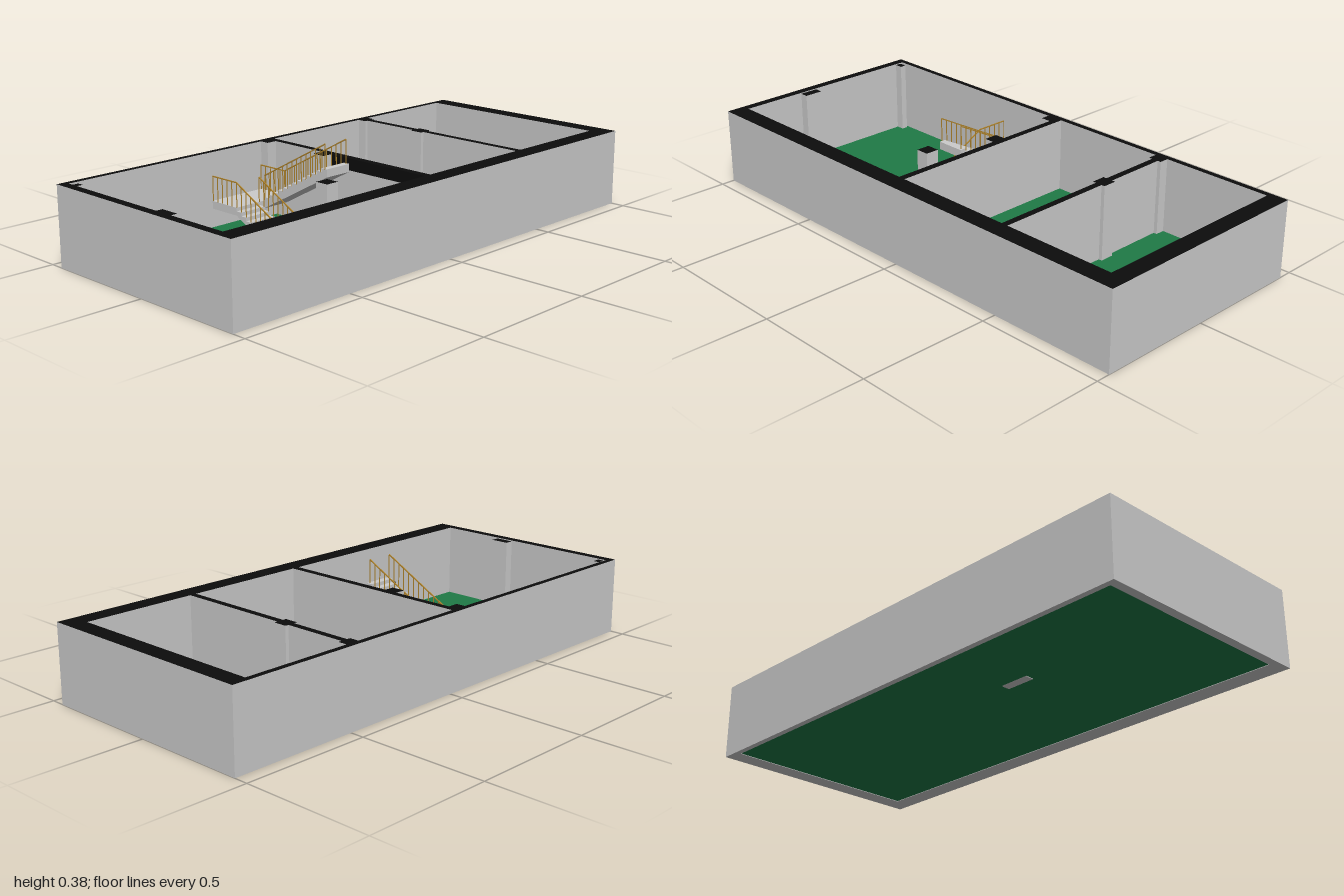
import * as THREE from 'three';

const mat = (color) => new THREE.MeshStandardMaterial({ color });

export function createModel() {
  const model = new THREE.Group();
  const grey = mat(0xcccccc), black = mat(0x0c0c0c), green = mat(0x1f7a46), wood = mat(0xb0842c);
  const capped = [grey, grey, black, grey, grey, grey]; // grey block with a black cut top
  const H = 0.297, D = 0.447;

  // Box given by its extents on each axis
  function block(name, x0, x1, y0, y1, z0, z1, material, parent = model) {
    const mesh = new THREE.Mesh(new THREE.BoxGeometry(x1 - x0, y1 - y0, z1 - z0), material);
    mesh.position.set((x0 + x1) / 2, (y0 + y1) / 2, (z0 + z1) / 2);
    mesh.name = name;
    parent.add(mesh);
    return mesh;
  }

  // Outer walls: front and right are thicker
  block('frontWall', -1, 1, 0, H, 0.373, D, capped);
  block('backWall', -1, 1, 0, H, -D, -0.425, capped);
  block('leftEndWall', -1, -0.967, 0, H, -0.425, 0.373, capped);
  block('rightEndWall', 0.93, 1, 0, H, -0.425, 0.373, capped);
  block('floor', -0.967, 0.93, 0.002, 0.008, -0.425, 0.373, green);

  // Partition walls
  for (const x of [-0.04, 0.47])
    block('partitionWall', x - 0.013, x + 0.013, 0.005, H, -0.425, 0.373, capped);
  block('partitionBeam', -0.055, -0.04, 0.252, H, -0.085, 0.373, black);

  // Columns: x0, x1, z0, z1, height
  [
    [-0.967, -0.935, -0.415, -0.39, H - 0.004],
    [-0.967, -0.933, 0.04, 0.115, H - 0.004],
    [-0.265, -0.212, 0.05, 0.105, 0.257],
    [-0.095, -0.04, -0.14, -0.085, H],
    [-0.095, -0.03, -0.425, -0.388, H],
    [0.443, 0.497, -0.14, -0.085, H],
    [0.443, 0.497, -0.425, -0.388, H],
  ].forEach(([x0, x1, z0, z1, h]) => block('column', x0, x1, 0.005, h, z0, z1, capped));

  // Staircase: lower flight, landing, upper flight
  const stairs = new THREE.Group();
  stairs.name = 'staircase';
  model.add(stairs);
  const rise = 0.0138, run = 0.0257, landY = 8 * rise, landZ = -0.29, slab = 0.03;

  // Stepped slab, run along local x, width along local z
  function flight(treads, width, base, footOnGround) {
    const s = new THREE.Shape();
    s.moveTo(0, base);
    for (let i = 0; i < treads; i++) {
      s.lineTo(i * run, base + (i + 1) * rise);
      s.lineTo((i + 1) * run, base + (i + 1) * rise);
    }
    const end = treads * run, top = base + treads * rise;
    s.lineTo(end, top - slab + (footOnGround ? rise : 0));
    s.lineTo(footOnGround ? 0.03 : 0, footOnGround ? 0 : base - slab);
    s.closePath();
    return new THREE.ExtrudeGeometry(s, { depth: width, bevelEnabled: false });
  }
  const lower = new THREE.Mesh(flight(7, 0.117, 0, true), grey);
  lower.name = 'lowerFlight';
  lower.rotation.y = Math.PI / 2;
  lower.position.set(-0.342, 0, landZ + 7 * run);
  const upper = new THREE.Mesh(flight(13, 0.113, landY, false), grey);
  upper.name = 'upperFlight';
  upper.rotation.y = -Math.PI / 2;
  upper.position.set(-0.093, 0, landZ);
  stairs.add(lower, upper);
  block('landing', -0.342, -0.093, landY - slab, landY, -0.425, landZ, grey, stairs);

  // Handrail between two (z, y) points, with evenly spaced balusters
  const railH = 0.095;
  function railing(name, x, z0, y0, z1, y1, count) {
    const g = new THREE.Group();
    g.name = name;
    const len = Math.hypot(z1 - z0, y1 - y0);
    const rail = block('handrail', x - 0.002, x + 0.002, 0, 0.004, -len / 2, len / 2, wood, g);
    rail.position.set(x, (y0 + y1) / 2, (z0 + z1) / 2);
    rail.rotation.x = -Math.atan2(y1 - y0, z1 - z0);
    for (let i = 0; i < count; i++) {
      const t = i / (count - 1), z = z0 + (z1 - z0) * t, y = y0 + (y1 - y0) * t;
      block('baluster', x - 0.0013, x + 0.0013, Math.max(y - railH, 0.005), y, z - 0.0013, z + 0.0013, wood, g);
    }
    stairs.add(g);
  }
  const slope = rise / run, railLand = landY + railH;
  for (const x of [-0.205, -0.1])
    railing('upperRailing', x, landZ + 0.005, 0.38 - slope * 0.32, 0.035, 0.38, 14);
  for (const x of [-0.34, -0.23])
    railing('lowerRailing', x, -0.085, railLand - slope * 0.205, landZ, railLand, 9);
  for (const x of [-0.34, -0.1])
    railing('landingRailing', x, -0.423, railLand, landZ, railLand, 6);

  return model;
}
